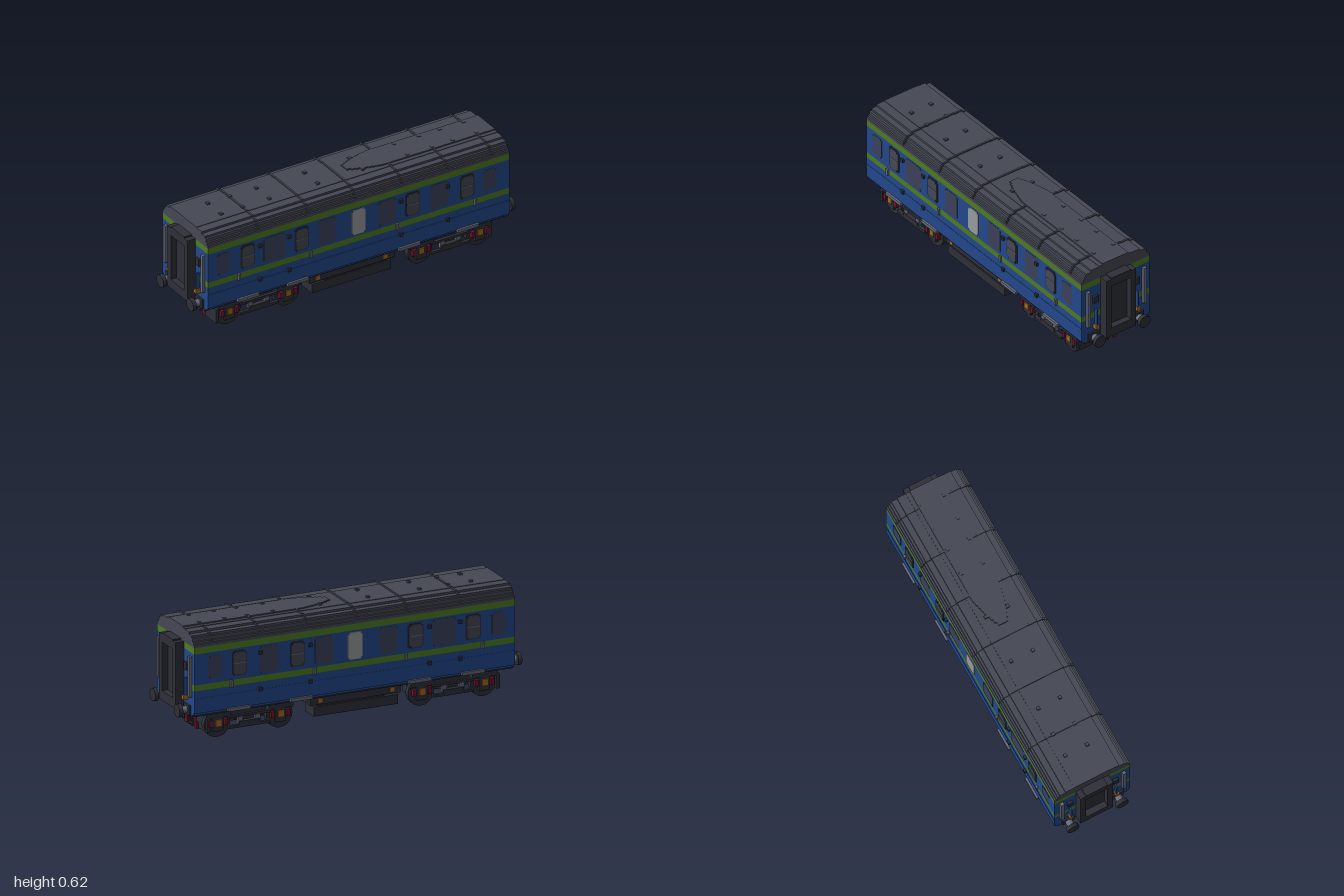
import * as THREE from 'three';

const mat = (name, color) => new THREE.MeshStandardMaterial({ name, color });

export function createModel() {
  const root = new THREE.Group();
  root.name = 'passengerCoach';
  const blue = mat('bodyBlue', 0x22488c);
  const green = mat('bandGreen', 0x4e7b20);
  const roofGrey = mat('roofGrey', 0x454854);
  const dark = mat('underframeDark', 0x2e2f38);
  const glass = mat('windowGlass', 0x3a405c);
  const pale = mat('paleGlass', 0x9a9b9e);
  const steel = mat('steelGrey', 0x666a7a);
  const orange = mat('orange', 0xa8681c);
  const red = mat('darkRed', 0x701430);

  const add = (name, geo, m, parent = root) => {
    const mesh = new THREE.Mesh(geo, m);
    mesh.name = name;
    parent.add(mesh);
    return mesh;
  };
  // box given by its limits
  const box = (name, m, x0, x1, y0, y1, z0, z1, parent = root) => {
    const mesh = add(name, new THREE.BoxGeometry(Math.abs(x1 - x0), y1 - y0, Math.abs(z1 - z0)), m, parent);
    mesh.position.set((x0 + x1) / 2, (y0 + y1) / 2, (z0 + z1) / 2);
    return mesh;
  };
  // the same box on both sides of the coach
  const pair = (name, m, x0, x1, y0, y1, z0, z1, parent = root) => {
    for (const s of [1, -1]) box(name, m, x0, x1, y0, y1, s * z0, s * z1, parent);
  };
  // half profile of [z, y] points, mirrored and swept along x
  const sweep = (name, m, half, x0, x1) => {
    const pts = [...half, ...half.slice().reverse().map(([z, y]) => [-z, y])];
    const geo = new THREE.ExtrudeGeometry(new THREE.Shape(pts.map(([z, y]) => new THREE.Vector2(z, y))),
      { depth: x1 - x0, bevelEnabled: false });
    geo.rotateY(Math.PI / 2).translate(x0, 0, 0);
    return add(name, geo, m);
  };
  // thin pane with stepped corners, on both sides
  const pane = (name, m, x0, x1, y0, y1, depth = 0.004, c = 0.01) => {
    const s = new THREE.Shape([
      [x0 + c, y0], [x1 - c, y0], [x1 - c, y0 + c], [x1, y0 + c], [x1, y1 - c], [x1 - c, y1 - c],
      [x1 - c, y1], [x0 + c, y1], [x0 + c, y1 - c], [x0, y1 - c], [x0, y0 + c], [x0 + c, y0 + c],
    ].map(([x, y]) => new THREE.Vector2(x, y)));
    for (const z of [0.2245, -0.2245 - depth]) {
      add(name, new THREE.ExtrudeGeometry(s, { depth, bevelEnabled: false }).translate(0, 0, z), m);
    }
  };

  // Body shell and coloured bands
  const L = 0.935, W = 0.225;
  box('sill', dark, -L, L, 0.142, 0.152, -0.205, 0.205);
  box('lowerSkirt', blue, -L, L, 0.152, 0.165, -0.217, 0.217);
  box('lowerBody', blue, -L, L, 0.165, 0.29, -W, W);
  box('waistBand', green, -L, L, 0.29, 0.323, -W, W);
  box('upperBody', blue, -L, L, 0.323, 0.495, -W, W);
  box('topBand', green, -L, L, 0.495, 0.53, -W, W);
  pair('bodyLine', blue, -L, L, 0.243, 0.248, W, 0.2265);

  // Stepped roof with ribs, vents and raised pointed panel
  const roof = [[0.225, 0.53], [0.225, 0.547], [0.215, 0.547], [0.215, 0.56], [0.205, 0.56], [0.205, 0.578],
    [0.193, 0.578], [0.193, 0.59], [0.16, 0.59], [0.16, 0.602], [0.108, 0.602], [0.108, 0.605]];
  sweep('roof', roofGrey, roof, -L, L);
  const rib = roof.map(([z, y]) => [Math.min(z + 0.004, 0.225), y + 0.006]);
  for (const x of [-0.62, -0.31, -0.017, 0.272, 0.553, 0.83]) sweep('roofRib', roofGrey, rib, x - 0.005, x + 0.005);
  const steps = 9;
  for (let i = 0; i < steps; i++) {
    const w = 0.085 * Math.sqrt((i + 1) / steps);
    const x0 = 0.05 + i * 0.022;
    box('raisedRoof', roofGrey, x0, i === steps - 1 ? L : x0 + 0.022, 0.604, 0.612, -w, w);
  }
  for (const x of [-0.755, -0.62, -0.455, -0.155, 0.125, 0.4, 0.553, 0.683, 0.83]) {
    pair('roofVent', roofGrey, x - 0.009, x + 0.009, 0.603, 0.615, 0.056, 0.074);
  }

  // Side windows
  for (const [a, b, y0, y1] of [[-0.88, -0.8, 0.35, 0.475], [-0.59, -0.455, 0.335, 0.485], [-0.25, -0.145, 0.335, 0.485],
    [0.12, 0.23, 0.335, 0.485], [0.445, 0.555, 0.335, 0.485], [0.77, 0.855, 0.35, 0.475]]) {
    pane('window', glass, a, b, y0, y1, 0.002);
  }
  pane('centreWindow', pale, -0.045, 0.04, 0.335, 0.485);

  // Doors: window, rail, hinges, handle and footstep
  for (const [a, hx, sx, x] of [[-0.735, -0.615, -0.755, -0.745], [-0.4, -0.435, -0.445, -0.3],
    [0.29, 0.26, 0.247, 0.235], [0.628, 0.55, 0.61, 0.72]]) {
    pane('doorWindowFrame', dark, a, a + 0.088, 0.345, 0.482, 0.004);
    pane('doorWindow', roofGrey, a + 0.006, a + 0.082, 0.351, 0.476, 0.007);
    pair('windowRail', steel, a + 0.006, a + 0.082, 0.412, 0.418, 0.231, 0.234);
    pair('upperHinge', dark, hx - 0.01, hx + 0.01, 0.443, 0.463, 0.22, 0.237);
    pair('lowerHinge', dark, hx - 0.01, hx + 0.01, 0.24, 0.26, 0.22, 0.237);
    pair('doorHandle', steel, x - 0.007, x + 0.007, 0.285, 0.323, 0.22, 0.237);
    pair('footstep', steel, sx, sx + 0.13, 0.153, 0.171, 0.21, 0.237);
  }

  // Ends: gangway, rails, lamps, pipes and buffers
  for (const s of [1, -1]) {
    const end = new THREE.Group();
    end.name = s > 0 ? 'leftEnd' : 'rightEnd';
    root.add(end);
    const e = (name, m, x0, x1, y0, y1, z0, z1) => box(name, m, s * x0, s * x1, y0, y1, z0, z1, end);
    const p = (name, m, x0, x1, y0, y1, z0, z1) => pair(name, m, s * x0, s * x1, y0, y1, z0, z1, end);
    e('gangwayDoor', dark, 0.93, 0.95, 0.2, 0.5, -0.07, 0.07);
    p('gangwaySide', dark, 0.93, 0.985, 0.162, 0.53, 0.065, 0.098);
    e('gangwayTop', dark, 0.93, 0.985, 0.485, 0.538, -0.065, 0.065);
    e('gangwayFloor', dark, 0.93, 0.985, 0.162, 0.215, -0.065, 0.065);
    p('grabRail', steel, 0.93, 0.952, 0.25, 0.475, 0.175, 0.195);
    p('lampBracket', dark, 0.93, 0.948, 0.388, 0.43, 0.12, 0.152);
    p('hose', blue, 0.93, 0.957, 0.225, 0.343, 0.131, 0.14);
    p('hoseTap', orange, 0.93, 0.962, 0.225, 0.247, 0.125, 0.148);
    for (const side of [1, -1]) {
      const shaft = add('bufferShaft', new THREE.CylinderGeometry(0.02, 0.02, 0.06, 12), steel, end);
      shaft.rotation.z = Math.PI / 2;
      shaft.position.set(s * 0.955, 0.17, side * 0.147);
      const head = add('bufferHead', new THREE.CylinderGeometry(0.036, 0.036, 0.022, 12), dark, end);
      head.rotation.z = Math.PI / 2;
      head.position.set(s * 0.989, 0.17, side * 0.147);
    }
    p('bufferMount', dark, 0.93, 0.945, 0.145, 0.2, 0.112, 0.182);
  }

  // Bogies
  for (const s of [1, -1]) {
    const bogie = new THREE.Group();
    bogie.name = 'bogie';
    bogie.position.x = s * 0.595;
    root.add(bogie);
    const p = (name, m, x0, x1, y0, y1, z0, z1) => pair(name, m, x0, x1, y0, y1, z0, z1, bogie);
    box('bolster', dark, -0.06, 0.06, 0.066, 0.118, -0.14, 0.14, bogie);
    p('bogieMount', dark, -0.1, 0.1, 0.1, 0.148, 0.088, 0.14);
    p('innerFrame', dark, -0.25, 0.25, 0.066, 0.118, 0.09, 0.138);
    p('upperBar', dark, -0.12, 0.12, 0.098, 0.112, 0.172, 0.19);
    p('lowerBar', dark, -0.12, 0.12, 0.04, 0.055, 0.172, 0.19);
    p('springPlank', dark, -0.06, 0.06, 0.055, 0.075, 0.165, 0.193);
    for (const x of [-0.05, 0.05]) p('bolsterSpring', steel, x - 0.014, x + 0.014, 0.06, 0.098, 0.168, 0.186);
    for (const t of [1, -1]) {
      const wx = t * 0.182;
      box('crossBeam', dark, wx - 0.03, wx + 0.03, 0.066, 0.118, -0.14, 0.14, bogie);
      for (const side of [1, -1]) {
        const wheel = add('wheel', new THREE.CylinderGeometry(0.076, 0.076, 0.031, 20), dark, bogie);
        wheel.rotation.x = Math.PI / 2;
        wheel.position.set(wx, 0.076, side * 0.1565);
      }
      p('axleGuard', dark, wx - 0.072, wx + 0.072, 0.112, 0.14, 0.15, 0.193);
      p('axleHorn', dark, wx - 0.03, wx + 0.03, 0.036, 0.115, 0.168, 0.188);
      p('axleBox', orange, wx - 0.016, wx + 0.016, 0.066, 0.1, 0.18, 0.194);
      for (const d of [-0.045, 0.045]) p('axleSpring', red, wx + d - 0.01, wx + d + 0.01, 0.064, 0.1, 0.168, 0.193);
    }
    // Outer end: brake gear and coupling hoop
    const o = s * 0.25;
    box('endBeam', dark, o - 0.02, o, 0.066, 0.118, -0.138, 0.138, bogie);
    p('endBeamBlock', dark, o - 0.02, o, 0.036, 0.118, 0.088, 0.19);
    p('brakeHanger', red, o - 0.012, o + s * 0.004, 0.025, 0.098, 0.045, 0.064);
    p('brakeShoe', red, o - 0.012, o + s * 0.004, 0.025, 0.043, 0.064, 0.073);
    p('hoopSide', dark, o - 0.01, o + s * 0.006, 0.025, 0.11, 0.013, 0.021);
    box('hoopBase', dark, o - 0.01, o + s * 0.006, 0.034, 0.043, -0.014, 0.014, bogie);
    box('hoopBlock', dark, o - 0.01, o + s * 0.008, 0.075, 0.11, -0.014, 0.014, bogie);
  }

  // Equipment boxes under the middle
  pair('equipmentBox', dark, -0.27, 0.222, 0.037, 0.09, 0.09, 0.192);
  pair('equipmentTop', dark, -0.19, 0.2, 0.09, 0.148, 0.09, 0.185);
  pair('equipmentRail', dark, -0.285, 0.245, 0.1, 0.145, 0.16, 0.193);
  box('equipmentBridge', dark, -0.2, 0.2, 0.066, 0.118, -0.09, 0.09);
  for (const x of [-0.235, 0.185]) pair('equipmentTag', orange, x - 0.012, x + 0.012, 0.11, 0.134, 0.19, 0.196);

  return root;
}
